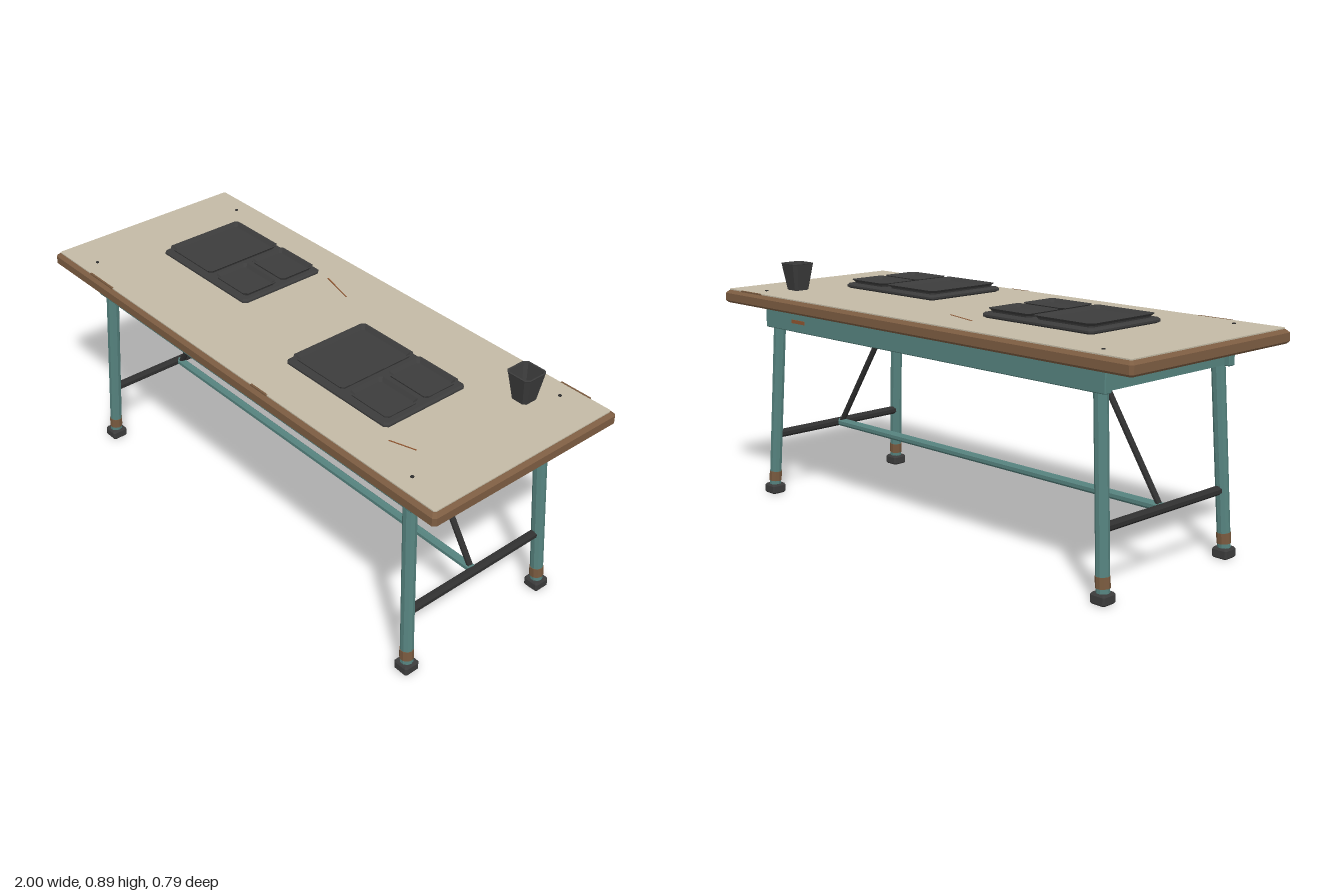
import * as THREE from 'three';

const mat = (name, color, side = THREE.FrontSide) => {
  const m = new THREE.MeshStandardMaterial({ color, side });
  m.name = name;
  return m;
};

// Stacks chamfered rectangles [halfX, halfZ, y, corner] into a closed, faceted solid.
function loft(profile) {
  const rings = profile.map(([w, d, y, c]) => [
    [w, -d + c], [w - c, -d], [-w + c, -d], [-w, -d + c],
    [-w, d - c], [-w + c, d], [w - c, d], [w, d - c],
  ].map(([x, z]) => [x, y, z]));
  const pos = [];
  const tri = (a, b, c) => pos.push(...a, ...b, ...c);
  for (let r = 0; r < rings.length - 1; r++) {
    for (let i = 0; i < 8; i++) {
      const j = (i + 1) % 8, lo = rings[r], up = rings[r + 1];
      tri(lo[i], lo[j], up[j]);
      tri(lo[i], up[j], up[i]);
    }
  }
  const first = rings[0], last = rings[rings.length - 1];
  for (let i = 1; i < 7; i++) {
    tri(first[0], first[i + 1], first[i]);
    tri(last[0], last[i], last[i + 1]);
  }
  const g = new THREE.BufferGeometry();
  g.setAttribute('position', new THREE.Float32BufferAttribute(pos, 3));
  g.computeVertexNormals();
  return g;
}

// Faceted round bar between two points.
function bar(a, b, rA, rB = rA, sides = 8) {
  const from = new THREE.Vector3(...a), to = new THREE.Vector3(...b);
  const dir = to.clone().sub(from);
  let g = new THREE.CylinderGeometry(rB, rA, dir.length(), sides);
  g.rotateY(Math.PI / sides);
  g.applyQuaternion(new THREE.Quaternion().setFromUnitVectors(new THREE.Vector3(0, 1, 0), dir.normalize()));
  g.translate(...from.add(to).multiplyScalar(0.5).toArray());
  g = g.toNonIndexed();
  g.computeVertexNormals();
  return g;
}

export function createModel() {
  const model = new THREE.Group();
  model.name = 'table';
  const teal = mat('tealPaint', 0x56837f);
  const wood = mat('wood', 0x7d5d42);
  const cream = mat('creamLaminate', 0xc3baa5);
  const dark = mat('darkPlastic', 0x3c3c3c);
  const iron = mat('darkIron', 0x303030);
  const rust = mat('rust', 0x8f5530);
  const band = mat('wornBand', 0x795a3f);

  const add = (name, geometry, material, x = 0, y = 0, z = 0, parent = model) => {
    const m = new THREE.Mesh(geometry, material);
    m.name = name;
    m.position.set(x, y, z);
    parent.add(m);
    return m;
  };
  const box = (w, h, d) => new THREE.BoxGeometry(w, h, d);

  // Tabletop with chamfered edge and a laminate sheet
  add('tabletop', loft([
    [0.992, 0.387, 0.733, 0.008], [1, 0.395, 0.741, 0.01],
    [1, 0.395, 0.769, 0.01], [0.988, 0.383, 0.78, 0.008],
  ]), wood);
  add('tableSurface', loft([[0.986, 0.381, 0.779, 0.006], [0.986, 0.381, 0.784, 0.006]]), cream);

  // Aprons
  const longApron = loft([
    [0.838, 0.013, 0.649, 0.003], [0.84, 0.015, 0.652, 0.003], [0.84, 0.015, 0.735, 0.003],
  ]);
  for (const s of [-1, 1]) {
    add('longApron', longApron, teal, 0, 0, s * 0.305);
    add('endApron', box(0.03, 0.083, 0.59), teal, s * 0.805, 0.693, 0);
  }

  // Splayed legs with worn bands and feet
  const legAt = (sx, sz, y) => {
    const t = (0.65 - y) / 0.62;
    return [sx * (0.797 + 0.038 * t), y, sz * (0.289 + 0.018 * t)];
  };
  const foot = loft([
    [0.026, 0.026, 0, 0.005], [0.03, 0.03, 0.005, 0.006],
    [0.03, 0.03, 0.029, 0.006], [0.026, 0.026, 0.035, 0.005],
  ]);
  for (const sx of [-1, 1]) {
    for (const sz of [-1, 1]) {
      add('leg', bar(legAt(sx, sz, 0.03), legAt(sx, sz, 0.7), 0.0225, 0.0235, 10), teal);
      add('legBand', bar(legAt(sx, sz, 0.049), legAt(sx, sz, 0.086), 0.0242, 0.0242, 10), band);
      add('foot', foot, dark, sx * 0.835, 0, sz * 0.307);
    }
    // End crossbar and diagonal brace
    add('crossbar', bar([sx * 0.82, 0.232, -0.295], [sx * 0.82, 0.232, 0.295], 0.016), iron);
    add('brace', bar([sx * 0.808, 0.225, 0], [sx * 0.507, 0.685, 0], 0.011), iron);
  }
  add('stretcher', bar([-0.82, 0.232, 0], [0.82, 0.232, 0], 0.0155), teal);

  // Compartment trays
  const pan = (w, d) => loft([
    [w - 0.012, d - 0.012, 0.81, 0.008], [w - 0.009, d - 0.009, 0.82, 0.01],
    [w, d, 0.829, 0.012], [w - 0.007, d - 0.007, 0.829, 0.01],
    [w - 0.017, d - 0.017, 0.817, 0.008],
  ]);
  const trayBase = loft([
    [0.23, 0.162, 0.797, 0.01], [0.24, 0.172, 0.803, 0.012],
    [0.24, 0.172, 0.809, 0.012], [0.233, 0.165, 0.815, 0.01],
  ]);
  for (const [x, z] of [[-0.465, -0.06], [0.385, 0.063]]) {
    const tray = new THREE.Group();
    tray.name = 'tray';
    tray.position.set(x, 0, z);
    model.add(tray);
    add('trayBase', trayBase, dark, 0, 0, 0, tray);
    add('largeCompartment', pan(0.125, 0.157), dark, -0.102, 0, 0, tray);
    for (const s of [-1, 1]) add('smallCompartment', pan(0.095, 0.075), dark, 0.132, 0, s * 0.082, tray);
  }

  // Open square cup
  add('cup', loft([
    [0.031, 0.031, 0.787, 0.009], [0.047, 0.047, 0.884, 0.013],
    [0.048, 0.048, 0.887, 0.013], [0.042, 0.042, 0.887, 0.011],
    [0.028, 0.028, 0.796, 0.008],
  ]), dark, 0.767, 0, -0.222);

  // Bolt heads on the surface
  for (const x of [-0.83, 0.83]) {
    for (const z of [-0.32, 0.32]) add('bolt', new THREE.CylinderGeometry(0.006, 0.006, 0.004, 8), iron, x, 0.785, z);
  }

  // Scratches on the surface and chips along its edges: x, z, length, angle
  for (const [x, z, length, angle] of [[-0.13, -0.228, 0.145, -0.25], [0.7, 0.236, 0.095, 0.32]]) {
    add('scratch', box(length, 0.002, 0.004), rust, x, 0.7845, z).rotation.y = angle;
  }
  for (const [x, z, length] of [[-0.71, 0.38, 0.14], [0.19, 0.38, 0.08], [0.84, -0.383, 0.12]]) {
    add('edgeChip', box(length, 0.005, 0.007), band, x, 0.782, z);
  }

  // Rust patches on the aprons
  for (const [x, y, z, length] of [[-0.62, 0.688, 0.321, 0.075], [0.48, 0.713, 0.321, 0.07], [0.64, 0.688, -0.321, 0.075]]) {
    add('rustPatch', box(length, 0.013, 0.004), rust, x, y, z);
  }
  return model;
}
